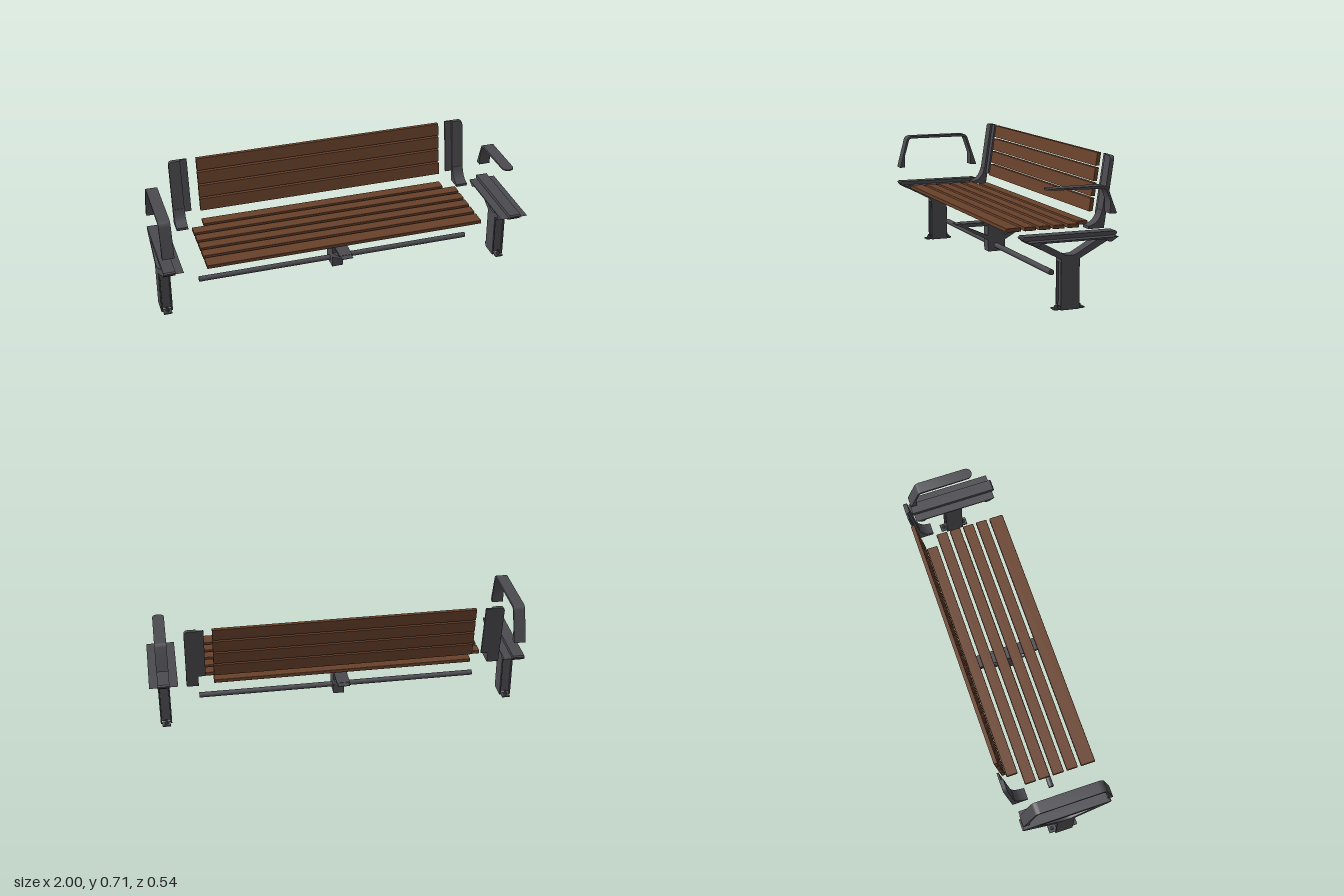
import * as THREE from 'three';
import { RoundedBoxGeometry } from 'three/addons/geometries/RoundedBoxGeometry.js';
import { toCreasedNormals } from 'three/addons/utils/BufferGeometryUtils.js';

const steel = new THREE.MeshStandardMaterial({ color: 0x4b4a4f, name: 'dark steel' });
const wood = new THREE.MeshStandardMaterial({ color: 0x68412b, name: 'brown wood' });
const MID = 0.028; // z of the post centre line
const LEAN = 0.15; // backward slope of the backrest
const WIDTH = 0.062; // width of the cast parts

function add(parent, name, geometry, material, x = 0, y = 0, z = 0) {
  const mesh = new THREE.Mesh(geometry, material);
  mesh.name = name;
  mesh.position.set(x, y, z);
  parent.add(mesh);
  return mesh;
}

function box(parent, name, x, y0, y1, z0, z1, w, material = steel) {
  const h = y1 - y0, d = z1 - z0;
  const r = Math.min(w, h, d) * 0.15;
  return add(parent, name, new RoundedBoxGeometry(w, h, d, 1, r), material, x, (y0 + y1) / 2, (z0 + z1) / 2);
}

// Side profile drawn as (z, y), given thickness along x
function side(shape, width) {
  const g = new THREE.ExtrudeGeometry(shape, { depth: width, bevelEnabled: false, curveSegments: 8 });
  g.translate(0, 0, -width / 2);
  g.rotateY(-Math.PI / 2);
  return toCreasedNormals(g, 0.6);
}

const points = list => list.map(([a, b]) => new THREE.Vector2(a, b));
const mirrored = half => points([...half, ...half.map(([a, b]) => [-a, b]).reverse()]);

// Tilts upright geometry back by shifting z with height
function lean(geometry) {
  const p = geometry.attributes.position;
  for (let i = 0; i < p.count; i++) p.setZ(i, p.getZ(i) - 0.2 - LEAN * (p.getY(i) - 0.37));
  geometry.computeVertexNormals();
  return toCreasedNormals(geometry, 0.6);
}

function leg(x, ledgeSides) {
  const g = new THREE.Group();
  g.name = 'leg';
  // Branching head with an open V
  const head = new THREE.Shape(mirrored([
    [0.0485, 0.23], [0.0485, 0.246], [0.19, 0.32], [0.222, 0.334], [0.241, 0.35], [0.243, 0.36], [0.236, 0.366],
  ]));
  head.holes.push(new THREE.Path(mirrored([[0.012, 0.264], [0.028, 0.268], [0.158, 0.34]])));
  add(g, 'legHead', side(head, WIDTH), steel, 0, 0, MID);
  // Post made of two cheeks and recessed webs
  for (const s of [-1, 1]) {
    box(g, 'postCheek', s * 0.027, 0, 0.24, MID - 0.0485, MID + 0.0485, 0.008);
    box(g, 'postWeb', 0, 0.012, 0.24, MID + s * 0.034 - 0.004, MID + s * 0.034 + 0.004, 0.05);
    box(g, 'footPlate', 0, 0, 0.008, MID + s * 0.057 - 0.022, MID + s * 0.057 + 0.022, 0.044);
    add(g, 'nut', new THREE.CylinderGeometry(0.011, 0.011, 0.011, 6), steel, 0, 0.013, MID + s * 0.059);
    add(g, 'bolt', new THREE.CylinderGeometry(0.006, 0.006, 0.012, 12), steel, 0, 0.023, MID + s * 0.056);
  }
  // Ledges that carry the seat slats
  const ledge = new THREE.Shape(mirrored([[0.17, 0.338], [0.18, 0.325], [0.195, 0.325], [0.23, 0.346]]));
  for (const s of ledgeSides) add(g, 'seatLedge', side(ledge, 0.046), steel, s * 0.052, 0, MID);
  g.position.x = x;
  return g;
}

function centreSupport() {
  const g = new THREE.Group();
  g.name = 'centreSupport';
  const shape = new THREE.Shape(mirrored([
    [0.0485, 0.105], [0.0485, 0.166], [0.2, 0.248], [0.232, 0.262], [0.232, 0.265],
  ]));
  for (const s of [-1, 1]) {
    shape.holes.push(new THREE.Path(points([[s * 0.0485, 0.246], [s * 0.17, 0.246], [s * 0.0485, 0.192]])));
  }
  add(g, 'supportBracket', side(shape, 0.06), steel, 0, 0, MID);
  box(g, 'supportPlate', 0, 0.26, 0.267, MID - 0.2, MID + 0.2, 0.07);
  g.position.x = -0.024;
  return g;
}

function backBracket(x, inward) {
  const g = new THREE.Group();
  g.name = 'backBracket';
  const w = 0.031, r = 0.022, o = -inward;
  // Leaning plate, rounded at its outer top corner
  const plate = new THREE.Shape();
  plate.moveTo(-o * w, 0.352);
  plate.lineTo(o * w, 0.352);
  plate.lineTo(o * w, 0.706 - r);
  plate.quadraticCurveTo(o * w, 0.706, o * (w - r), 0.706);
  plate.lineTo(-o * w, 0.706);
  const plateGeo = new THREE.ExtrudeGeometry(plate, { depth: 0.022, bevelEnabled: false, curveSegments: 6 });
  add(g, 'backPlate', lean(plateGeo.translate(0, 0, -0.022)), steel);
  // Thin flange behind the slat ends
  const flange = new THREE.BoxGeometry(0.038, 0.292, 0.01).translate(inward * 0.05, 0.56, -0.017);
  add(g, 'slatFlange', lean(flange), steel);
  // Curved foot
  const foot = new THREE.Shape();
  foot.moveTo(-0.214, 0.352);
  foot.lineTo(-0.135, 0.352);
  foot.lineTo(-0.135, 0.366);
  foot.quadraticCurveTo(-0.193, 0.372, -0.209, 0.44);
  foot.lineTo(-0.222, 0.44);
  add(g, 'backFoot', side(foot, WIDTH), steel);
  g.position.x = x;
  return g;
}

// Full armrest: a bent bar standing on two legs
function loopArmrest() {
  const s = new THREE.Shape();
  s.moveTo(0.272, 0.45);
  s.lineTo(0.23, 0.61);
  s.quadraticCurveTo(0.223, 0.637, 0.195, 0.637);
  s.lineTo(-0.125, 0.637);
  s.quadraticCurveTo(-0.149, 0.637, -0.157, 0.612);
  s.lineTo(-0.213, 0.45);
  s.lineTo(-0.177, 0.45);
  s.lineTo(-0.177, 0.515);
  s.lineTo(-0.145, 0.608);
  s.quadraticCurveTo(-0.14, 0.623, -0.122, 0.623);
  s.lineTo(0.197, 0.623);
  s.quadraticCurveTo(0.212, 0.623, 0.217, 0.607);
  s.lineTo(0.243, 0.515);
  s.lineTo(0.243, 0.45);
  return side(s, WIDTH);
}

// Short armrest: cantilevered from the rear with a tapering, rounded tip
function shortArmrest() {
  const s = new THREE.Shape();
  s.moveTo(0.12, 0.586);
  s.lineTo(-0.14, 0.586);
  s.quadraticCurveTo(-0.161, 0.586, -0.169, 0.565);
  s.lineTo(-0.213, 0.45);
  s.lineTo(-0.177, 0.45);
  s.lineTo(-0.177, 0.515);
  s.lineTo(-0.158, 0.563);
  s.quadraticCurveTo(-0.154, 0.572, -0.14, 0.572);
  s.lineTo(0.12, 0.578);
  return side(s, WIDTH);
}

export function createModel() {
  const model = new THREE.Group();
  model.name = 'explodedBench';

  model.add(leg(-0.969, [1]), leg(0.923, [-1, 1]));
  model.add(backBracket(-0.822, 1), backBracket(0.773, -1));
  model.add(centreSupport());

  add(model, 'loopArmrest', loopArmrest(), steel, -0.969);
  add(model, 'shortArmrest', shortArmrest(), steel, 0.923);
  const tip = new THREE.CylinderGeometry(WIDTH / 2, WIDTH / 2, 0.008, 20, 1, false, -Math.PI / 2, Math.PI);
  add(model, 'armrestTip', tip, steel, 0.923, 0.582, 0.12);

  // Long tube through the centre support
  const tube = new THREE.CylinderGeometry(0.0145, 0.0145, 1.515, 24).rotateZ(Math.PI / 2);
  add(model, 'crossTube', tube, steel, -0.023, 0.136, MID);

  // Seat slats: five long ones, and a short one at the rear
  for (const [z0, z1] of [[-0.123, -0.063], [-0.046, 0.014], [0.031, 0.091], [0.108, 0.168], [0.186, 0.264]]) {
    box(model, 'seatSlat', -0.024, 0.348, 0.368, z0, z1, 1.5, wood);
  }
  box(model, 'rearSeatSlat', -0.022, 0.348, 0.368, -0.2, -0.14, 1.366, wood);

  // Backrest slats
  for (let i = 0; i < 4; i++) {
    const slat = new THREE.BoxGeometry(1.366, 0.066, 0.02).translate(-0.022, 0.445 + i * 0.0757, -0.01);
    add(model, 'backSlat', lean(slat), wood);
  }
  return model;
}
